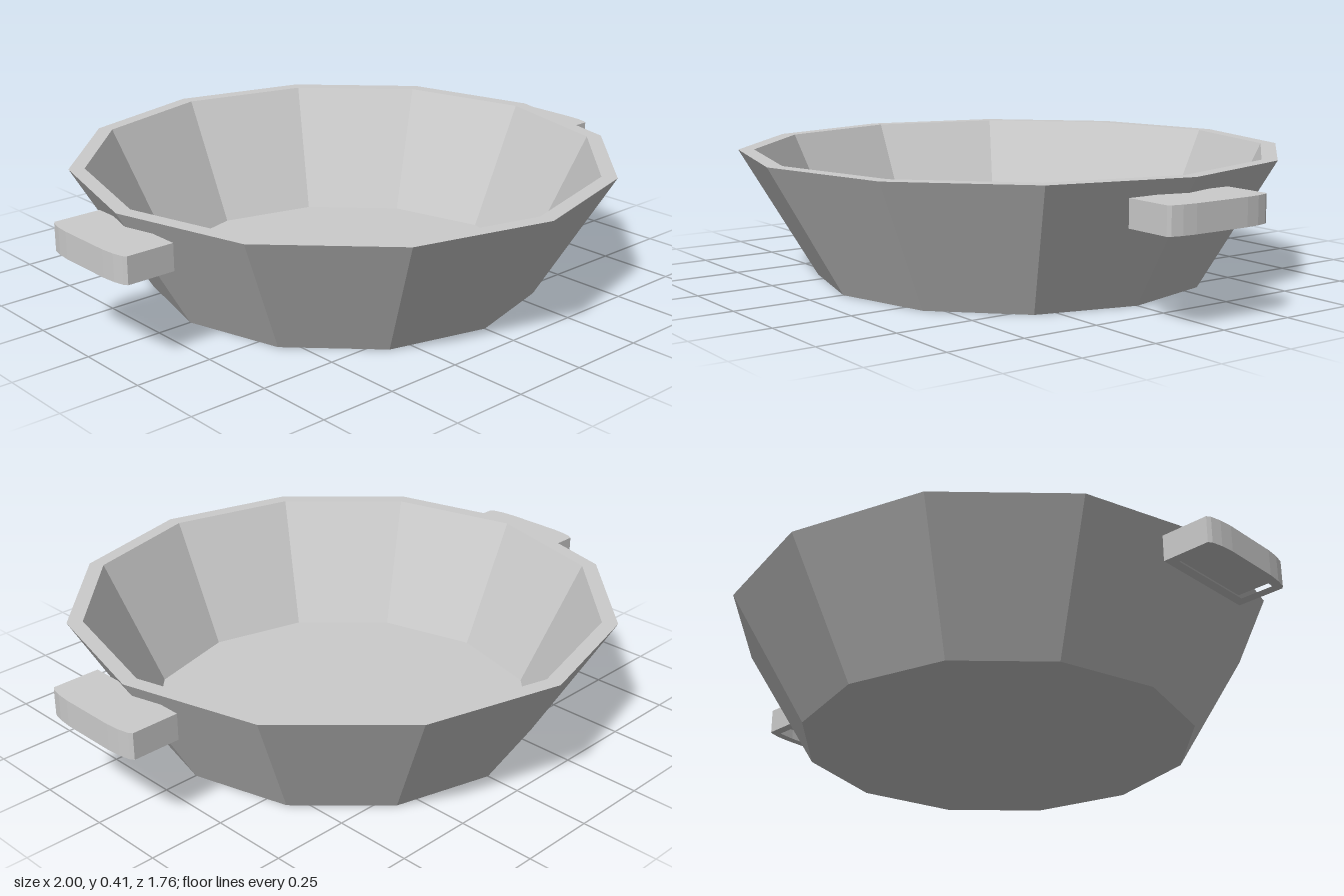
import * as THREE from 'three';

const material = new THREE.MeshStandardMaterial({ color: 0xcccccc, flatShading: true });

// Horizontal slab: an (x, z) outline hanging down from height top
function slab(name, outline, top, depth, hole) {
  const shape = new THREE.Shape(outline);
  if (hole) shape.holes.push(new THREE.Path(hole));
  const geometry = new THREE.ExtrudeGeometry(shape, { depth, bevelEnabled: false });
  geometry.rotateX(Math.PI / 2);
  const mesh = new THREE.Mesh(geometry, material);
  mesh.name = name;
  mesh.position.y = top;
  return mesh;
}

// Handle with softly rounded outer corners and a pocket underneath
function createHandle(name, side) {
  const points = (list) => list.map(([x, z]) => new THREE.Vector2(side * x, z));
  const outline = points([
    [0.825, -0.172], [0.98, -0.172], [0.988, -0.16], [0.996, -0.125], [1, -0.08],
    [1, 0.11], [0.996, 0.155], [0.988, 0.19], [0.98, 0.2], [0.825, 0.2],
  ]);
  const pocket = points([[0.855, -0.14], [0.965, -0.14], [0.972, -0.08], [0.972, 0.11], [0.965, 0.168], [0.855, 0.168]]);
  const handle = new THREE.Group();
  handle.name = name;
  handle.add(
    slab('handleTop', outline, 0.365, 0.05),
    slab('handleRim', outline, 0.315, 0.035, pocket),
  );
  return handle;
}

export function createModel() {
  const model = new THREE.Group();
  model.name = 'pan';

  // Twelve-sided bowl: outer wall, flat rim, inner wall tapering to a thin floor
  const profile = [[0, 0], [0.635, 0], [0.88, 0.413], [0.83, 0.413], [0.635, 0.005], [0, 0.005]]
    .map(([r, y]) => new THREE.Vector2(r, y));
  const bowl = new THREE.Mesh(new THREE.LatheGeometry(profile, 12), material);
  bowl.name = 'bowl';
  model.add(bowl);

  model.add(createHandle('leftHandle', 1), createHandle('rightHandle', -1));
  return model;
}
